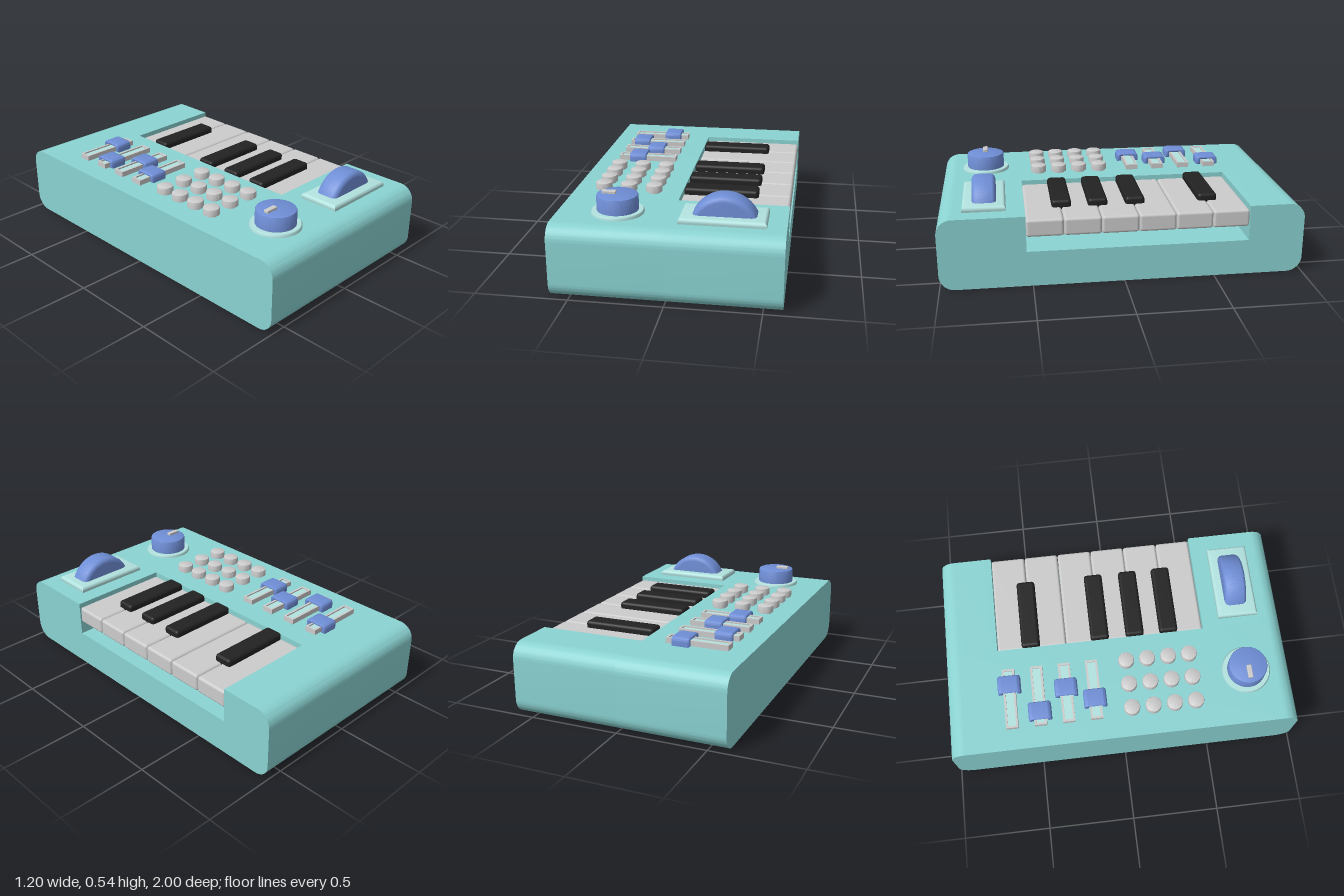
import * as THREE from 'three';
import { toCreasedNormals } from 'three/addons/utils/BufferGeometryUtils.js';
import { RoundedBoxGeometry } from 'three/addons/geometries/RoundedBoxGeometry.js';

const mat = (color) => new THREE.MeshStandardMaterial({ color });

export function createModel() {
  const model = new THREE.Group();
  const teal = mat(0x8ad3d2), pale = mat(0xb2e2df), blue = mat(0x6f8ed6);
  const black = mat(0x222222), grey = mat(0xcccccc);

  const add = (name, geometry, material, x = 0, y = 0, z = 0, parent = model) => {
    const mesh = new THREE.Mesh(geometry, material);
    mesh.name = name;
    mesh.position.set(x, y, z);
    parent.add(mesh);
    return mesh;
  };
  const group = (name) => {
    const g = new THREE.Group();
    g.name = name;
    model.add(g);
    return g;
  };
  // Box given by its extents, with softened edges
  const block = (name, material, x0, x1, y0, y1, z0, z1, r, parent) =>
    add(name, new RoundedBoxGeometry(x1 - x0, y1 - y0, z1 - z0, 3, r), material,
      (x0 + x1) / 2, (y0 + y1) / 2, (z0 + z1) / 2, parent);
  const extrude = (shape, depth, extra = {}) => toCreasedNormals(
    new THREE.ExtrudeGeometry(shape, { depth, bevelEnabled: false, curveSegments: 10, ...extra }), 0.6);
  const lathe = (pts, segments = 40) => toCreasedNormals(
    new THREE.LatheGeometry(pts.map(([x, y]) => new THREE.Vector2(x, y)), segments), 0.6);

  // Case: side profile swept across x; the right part has the keyboard recess
  const caseProfile = (recess) => {
    const r = 0.085, h = 0.4, s = new THREE.Shape();
    s.moveTo(-1 + r, 0);
    s.lineTo(1 - r, 0);
    s.absarc(1 - r, r, r, -Math.PI / 2, 0, false);
    s.absarc(1 - r, h - r, r, 0, Math.PI / 2, false);
    if (recess) {
      s.lineTo(0.69, h);
      s.lineTo(0.69, 0.2);
      s.lineTo(-0.53, 0.2);
      s.lineTo(-0.53, h);
    }
    s.absarc(-1 + r, h - r, r, Math.PI / 2, Math.PI, false);
    s.absarc(-1 + r, r, r, Math.PI, Math.PI * 1.5, false);
    return s;
  };
  const body = group('case');
  add('solidHalf', extrude(caseProfile(false), 0.6).rotateY(Math.PI / 2), teal, -0.6, 0, 0, body);
  add('recessedHalf', extrude(caseProfile(true), 0.6).rotateY(Math.PI / 2), teal, 0, 0, 0, body);

  // Keyboard
  const keyboard = group('keyboard');
  const pitch = 1.22 / 6;
  add('keyBed', new THREE.BoxGeometry(0.38, 0.1, 1.218), grey, 0.19, 0.25, -0.08, keyboard);
  for (let i = 0; i < 6; i++) {
    const z = -0.69 + i * pitch;
    block('whiteKey', grey, 0.001, 0.598, 0.28, 0.378, z + 0.001, z + pitch - 0.001, 0.015, keyboard);
  }
  for (const z of [-0.492, -0.083, 0.125, 0.326]) {
    block('blackKey', black, 0.004, 0.42, 0.36, 0.417, z - 0.054, z + 0.054, 0.018, keyboard);
  }

  // Sliders: framed track with a cap straddling it
  const sliders = group('sliders');
  const rect = (target, w, h) => {
    target.moveTo(-w, -h);
    target.lineTo(w, -h);
    target.lineTo(w, h);
    target.lineTo(-w, h);
    target.closePath();
    return target;
  };
  const frame = rect(new THREE.Shape(), 0.175, 0.035);
  frame.holes.push(rect(new THREE.Path(), 0.163, 0.023));
  const frameGeo = extrude(frame, 0.035).rotateX(-Math.PI / 2);

  // Arched cap profile in z and y
  const cap = new THREE.Shape();
  cap.moveTo(-0.066, 0);
  cap.lineTo(-0.04, 0);
  cap.lineTo(-0.04, 0.032);
  cap.lineTo(0.04, 0.032);
  cap.lineTo(0.04, 0);
  cap.lineTo(0.066, 0);
  cap.lineTo(0.066, 0.028);
  cap.quadraticCurveTo(0.064, 0.05, 0.042, 0.05);
  cap.lineTo(-0.042, 0.05);
  cap.quadraticCurveTo(-0.064, 0.05, -0.066, 0.028);
  const capGeo = extrude(cap, 0.084, {
    bevelEnabled: true, bevelThickness: 0.01, bevelSize: 0.008, bevelOffset: -0.008, bevelSegments: 3,
  }).translate(0, 0, -0.042).rotateY(Math.PI / 2);
  [[-0.635, -0.225], [-0.472, -0.4], [-0.311, -0.278], [-0.152, -0.36]].forEach(([z, x]) => {
    add('sliderFrame', frameGeo, grey, -0.305, 0.395, z, sliders);
    add('sliderTrack', new THREE.BoxGeometry(0.326, 0.03, 0.046), pale, -0.305, 0.407, z, sliders);
    add('sliderCap', capGeo, blue, x, 0.4, z, sliders);
  });

  // Button grid
  const buttons = group('buttons');
  const buttonGeo = lathe([[0.036, 0], [0.036, 0.008], [0.046, 0.008], [0.046, 0.038],
    [0.044, 0.045], [0.038, 0.048], [0, 0.048]], 28);
  for (const x of [-0.439, -0.297, -0.155]) {
    for (const z of [0.052, 0.175, 0.298, 0.42]) add('button', buttonGeo, grey, x, 0.4, z, buttons);
  }

  // Rotary dial
  const dial = group('dial');
  dial.position.set(-0.285, 0.4, 0.738);
  add('dialBase', lathe([[0.14, 0], [0.14, 0.007], [0.134, 0.016], [0, 0.016]], 48), pale, 0, 0, 0, dial);
  add('dialKnob', lathe([[0.11, 0.01], [0.11, 0.09], [0.107, 0.097], [0.1, 0.1], [0, 0.1]], 48),
    blue, 0, 0, 0, dial);
  block('dialPointer', grey, -0.082, -0.006, 0.09, 0.115, -0.014, 0.014, 0.004, dial);

  // Bend wheel: bevelled plate and a protruding circular segment
  const wheel = group('bendWheel');
  wheel.position.set(0.275, 0.4, 0.747);
  const plate = extrude(rect(new THREE.Shape(), 0.225, 0.118), 0.01, {
    bevelEnabled: true, bevelThickness: 0.02, bevelSize: 0.018, bevelOffset: -0.018, bevelSegments: 4,
  }).rotateX(-Math.PI / 2);
  add('wheelPlate', plate, pale, 0, 0, 0, wheel);
  const segment = new THREE.Shape();
  segment.absarc(0, -0.047, 0.182, 0.3, Math.PI - 0.3, false);
  segment.closePath();
  const segmentGeo = extrude(segment, 0.07, {
    curveSegments: 32, bevelEnabled: true, bevelThickness: 0.03, bevelSize: 0.03, bevelOffset: -0.03, bevelSegments: 5,
  });
  add('wheel', segmentGeo, blue, 0.005, 0, -0.037, wheel);

  return model;
}
